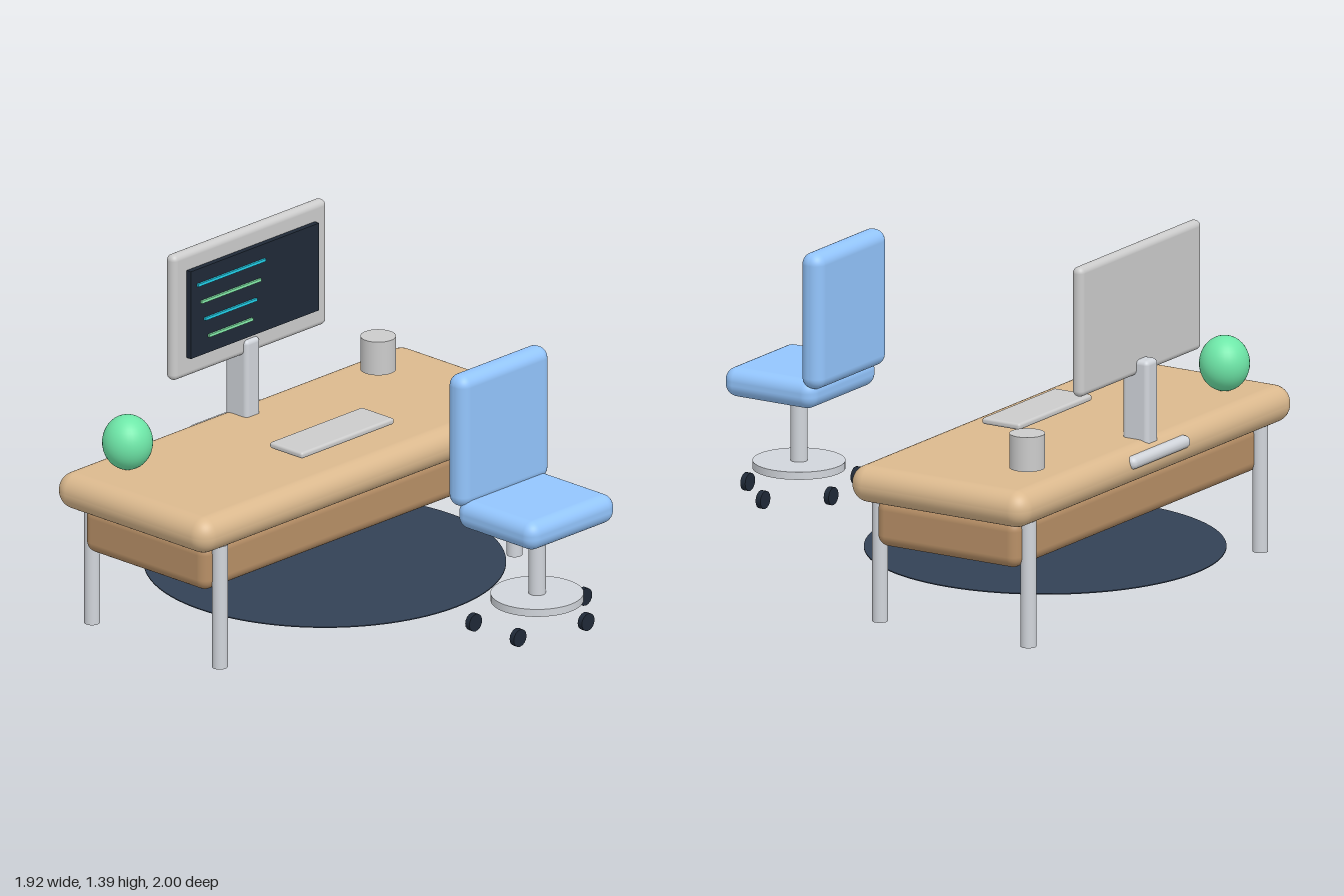
import * as THREE from 'three';
import { RoundedBoxGeometry } from 'three/addons/geometries/RoundedBoxGeometry.js';

const mat = (color) => new THREE.MeshStandardMaterial({ color });
const wood = mat(0xdbb98e);
const darkWood = mat(0xb78f66);
const metal = mat(0xd1d5db);
const grey = mat(0xcccccc);
const fabric = mat(0x93c5fd);
const leaf = mat(0x6ee7a8);
const rugCloth = mat(0x334155);
const dark = mat(0x1f2937);
const cyan = mat(0x22d3ee);
const green = mat(0x86efac);

function add(parent, name, geometry, material, x, y, z) {
  const mesh = new THREE.Mesh(geometry, material);
  mesh.name = name;
  mesh.position.set(x, y, z);
  parent.add(mesh);
  return mesh;
}

const rounded = (w, h, d, r) => new RoundedBoxGeometry(w, h, d, 5, r);
const box = (w, h, d) => new THREE.BoxGeometry(w, h, d);
const cylinder = (r, h, sides = 32) => new THREE.CylinderGeometry(r, r, h, sides);

function group(parent, name) {
  const g = new THREE.Group();
  g.name = name;
  parent.add(g);
  return g;
}

function buildDesk(parent) {
  const desk = group(parent, 'desk');
  add(desk, 'deskTop', rounded(1.92, 0.145, 0.8, 0.07), wood, 0, 0.5625, -0.43);
  add(desk, 'apron', rounded(1.75, 0.19, 0.645, 0.045), darkWood, 0, 0.405, -0.427);
  for (const x of [-0.81, 0.81]) {
    for (const z of [-0.09, -0.76]) {
      add(desk, 'deskLeg', cylinder(0.03, 0.5, 24), metal, x, 0.25, z);
    }
  }
}

function buildMonitor(parent) {
  const monitor = group(parent, 'monitor');
  add(monitor, 'monitorCase', rounded(0.845, 0.51, 0.05, 0.024), grey, 0, 1.138, -0.725);
  add(monitor, 'screen', box(0.705, 0.355, 0.025), dark, 0, 1.143, -0.69);
  // Text bars: each row starts further in and is shorter
  for (let i = 0; i < 4; i++) {
    const length = 0.37 - i * 0.043;
    const start = -0.32 + i * 0.02;
    add(monitor, 'screenLine', box(length, 0.011, 0.012), i % 2 ? green : cyan,
      start + length / 2, 1.257 - i * 0.074, -0.675);
  }
  // Neck with rounded upright edges
  add(monitor, 'monitorNeck', rounded(0.08, 0.355, 0.115, 0.018), metal, 0, 0.768, -0.742);
  add(monitor, 'monitorFoot', rounded(0.405, 0.05, 0.24, 0.024), metal, 0, 0.585, -0.727);
}

function buildDeskItems(parent) {
  const items = group(parent, 'deskItems');
  add(items, 'keyboard', rounded(0.51, 0.025, 0.172, 0.01), grey, 0, 0.673, -0.275);
  add(items, 'mug', cylinder(0.068, 0.135), grey, 0.648, 0.718, -0.65);
  const plant = add(items, 'plantBall', new THREE.SphereGeometry(0.097, 32, 20), leaf, -0.73, 0.742, -0.65);
  plant.scale.y = 1.11;
}

function buildChair(parent) {
  const chair = group(parent, 'chair');
  chair.position.z = 0.8;
  add(chair, 'seat', rounded(0.475, 0.115, 0.41, 0.05), fabric, 0, 0.643, -0.005);
  add(chair, 'backrest', rounded(0.49, 0.535, 0.096, 0.045), fabric, 0, 0.938, -0.202);
  add(chair, 'chairStem', cylinder(0.033, 0.3), metal, 0, 0.45, 0);
  add(chair, 'chairBase', cylinder(0.177, 0.03, 48), metal, 0, 0.298, 0);
  // Five wheels on an oval, all rolling the same way
  const wheel = cylinder(0.035, 0.022, 16).rotateX(Math.PI / 2);
  for (let i = 0; i < 5; i++) {
    const a = (i / 5) * Math.PI * 2;
    add(chair, 'caster', wheel, dark, 0.267 * Math.cos(a), 0.22, -0.01 + 0.198 * Math.sin(a));
  }
}

export function createModel() {
  const model = new THREE.Group();
  model.name = 'deskWorkspace';
  buildDesk(model);
  buildMonitor(model);
  buildDeskItems(model);
  buildChair(model);
  add(model, 'rug', cylinder(0.688, 0.004, 96), rugCloth, 0, 0.14, -0.312);
  return model;
}
